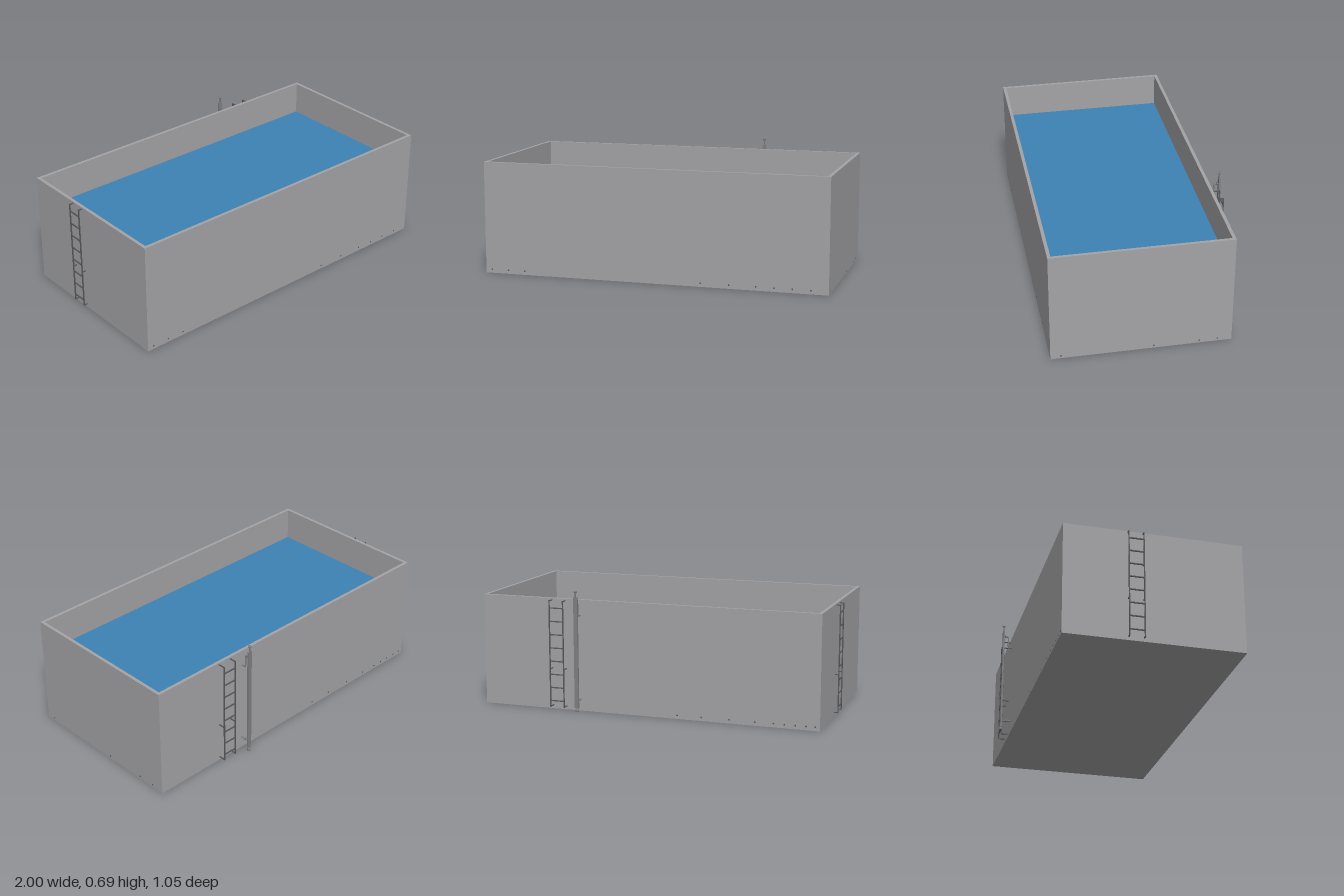
import * as THREE from 'three';

const mat = (name, color) => {
  const m = new THREE.MeshStandardMaterial({ color });
  m.name = name;
  return m;
};

// Tank extents
const X0 = -0.976, X1 = 0.997, Z0 = -0.458, Z1 = 0.527, H = 0.637, T = 0.018;
const WATER_Y = 0.445;

export function createModel() {
  const model = new THREE.Group();
  model.name = 'waterTank';
  const wallGrey = mat('wallGrey', 0xa4a4a6);
  const waterBlue = mat('waterBlue', 0x3d82b4);
  const pipeGrey = mat('pipeGrey', 0x808082);
  const ladderGrey = mat('ladderGrey', 0x5a5a5c);

  const add = (parent, name, geo, m, x = 0, y = 0, z = 0) => {
    const mesh = new THREE.Mesh(geo, m);
    mesh.name = name;
    mesh.position.set(x, y, z);
    parent.add(mesh);
    return mesh;
  };
  const box = (parent, name, m, w, h, d, x, y, z) =>
    add(parent, name, new THREE.BoxGeometry(w, h, d), m, x, y, z);

  const rect = (C, i) => {
    const p = new C();
    p.moveTo(X0 + i, -Z1 + i).lineTo(X1 - i, -Z1 + i).lineTo(X1 - i, -Z0 - i)
      .lineTo(X0 + i, -Z0 - i).closePath();
    return p;
  };

  // Open walls, floor and water surface
  const outline = rect(THREE.Shape, 0);
  outline.holes.push(rect(THREE.Path, T));
  const walls = new THREE.ExtrudeGeometry(outline, { depth: H, bevelEnabled: false });
  add(model, 'walls', walls.rotateX(-Math.PI / 2), wallGrey);
  const cx = (X0 + X1) / 2, cz = (Z0 + Z1) / 2;
  const inW = X1 - X0 - 2 * T, inD = Z1 - Z0 - 2 * T;
  box(model, 'floor', wallGrey, inW, 0.018, inD, cx, 0.009, cz);
  box(model, 'water', waterBlue, inW, 0.006, inD, cx, WATER_Y - 0.003, cz);

  // Ladder facing local -z, with its wall side at z = 0
  const ladder = (name, reach) => {
    const g = new THREE.Group();
    g.name = name;
    const half = 0.041, s = 0.006, y0 = 0.018, y1 = 0.63, z = -reach + s / 2;
    for (const x of [-half, half]) {
      box(g, 'ladderRail', ladderGrey, s, y1 - y0, s, x, (y0 + y1) / 2, z);
      for (const y of [y0 + s / 2, 0.237, y1 - s / 2])
        box(g, 'wallBracket', ladderGrey, s, s * 0.8, reach, x, y, -reach / 2);
    }
    for (let i = 0; i < 8; i++)
      box(g, 'rung', ladderGrey, 2 * half, s, s, 0, 0.055 + i * 0.076, z);
    model.add(g);
    return g;
  };
  ladder('backLadder', 0.042).position.set(0.533, 0, Z0);
  const side = ladder('sideLadder', 1 + X0);
  side.rotation.y = Math.PI / 2;
  side.position.set(X0, 0, -0.067);

  // Level gauge standing behind the back wall
  const gauge = new THREE.Group();
  gauge.name = 'levelGauge';
  gauge.position.set(0.405, 0, 0);
  model.add(gauge);
  const GZ = -0.516;
  box(gauge, 'gaugeBody', pipeGrey, 0.024, 0.63, 0.01, 0, 0.343, GZ);
  const stem = [[0, 0.655], [0.004, 0.655], [0.004, 0.68], [0.009, 0.688], [0.009, 0.694], [0, 0.694]];
  const foot = [[0, 0.01], [0.01, 0.01], [0.01, 0.016], [0.006, 0.028], [0, 0.028]];
  for (const [name, pts] of [['gaugeCap', stem], ['gaugeFoot', foot]]) {
    const profile = pts.map(([r, y]) => new THREE.Vector2(r, y));
    add(gauge, name, new THREE.LatheGeometry(profile, 12), pipeGrey, 0, 0, GZ);
  }

  // Bent upper pipe and straight lower pipe linking the gauge to the wall
  const bent = new THREE.CurvePath();
  const V = (y, z) => new THREE.Vector3(0, y, z);
  bent.add(new THREE.LineCurve3(V(0.548, Z0), V(0.548, -0.474)));
  bent.add(new THREE.QuadraticBezierCurve3(V(0.548, -0.474), V(0.548, -0.486), V(0.56, -0.486)));
  bent.add(new THREE.LineCurve3(V(0.56, -0.486), V(0.612, -0.486)));
  bent.add(new THREE.QuadraticBezierCurve3(V(0.612, -0.486), V(0.623, -0.486), V(0.623, -0.496)));
  bent.add(new THREE.LineCurve3(V(0.623, -0.496), V(0.623, GZ)));
  add(gauge, 'upperPipe', new THREE.TubeGeometry(bent, 40, 0.004, 8), pipeGrey);
  const straight = new THREE.LineCurve3(V(0.069, Z0), V(0.069, GZ));
  add(gauge, 'lowerPipe', new THREE.TubeGeometry(straight, 1, 0.004, 8), pipeGrey);
  for (const [y, z] of [[0.623, -0.503], [0.069, -0.486]]) {
    const flange = new THREE.CylinderGeometry(0.009, 0.009, 0.004, 12).rotateX(Math.PI / 2);
    add(gauge, 'valveFlange', flange, pipeGrey, 0, y, z);
  }

  // Small outlet discs along the foot of the walls
  const disc = new THREE.CylinderGeometry(0.005, 0.005, 0.002, 8).rotateX(Math.PI / 2);
  const outlets = (z, xs) => xs.forEach((x) => add(model, 'outlet', disc, ladderGrey, x, 0.021, z));
  outlets(Z1, [-0.94, -0.84, -0.74, 0.29, 0.45, 0.6, 0.7, 0.8, 0.9]);
  outlets(Z0, [-0.17, -0.31, -0.47, -0.615, -0.72, -0.78, -0.84, -0.9, -0.95]);
  for (const z of [-0.38, -0.28, -0.03, 0.47])
    add(model, 'outlet', disc, ladderGrey, X1, 0.015, z).rotation.y = Math.PI / 2;

  return model;
}
